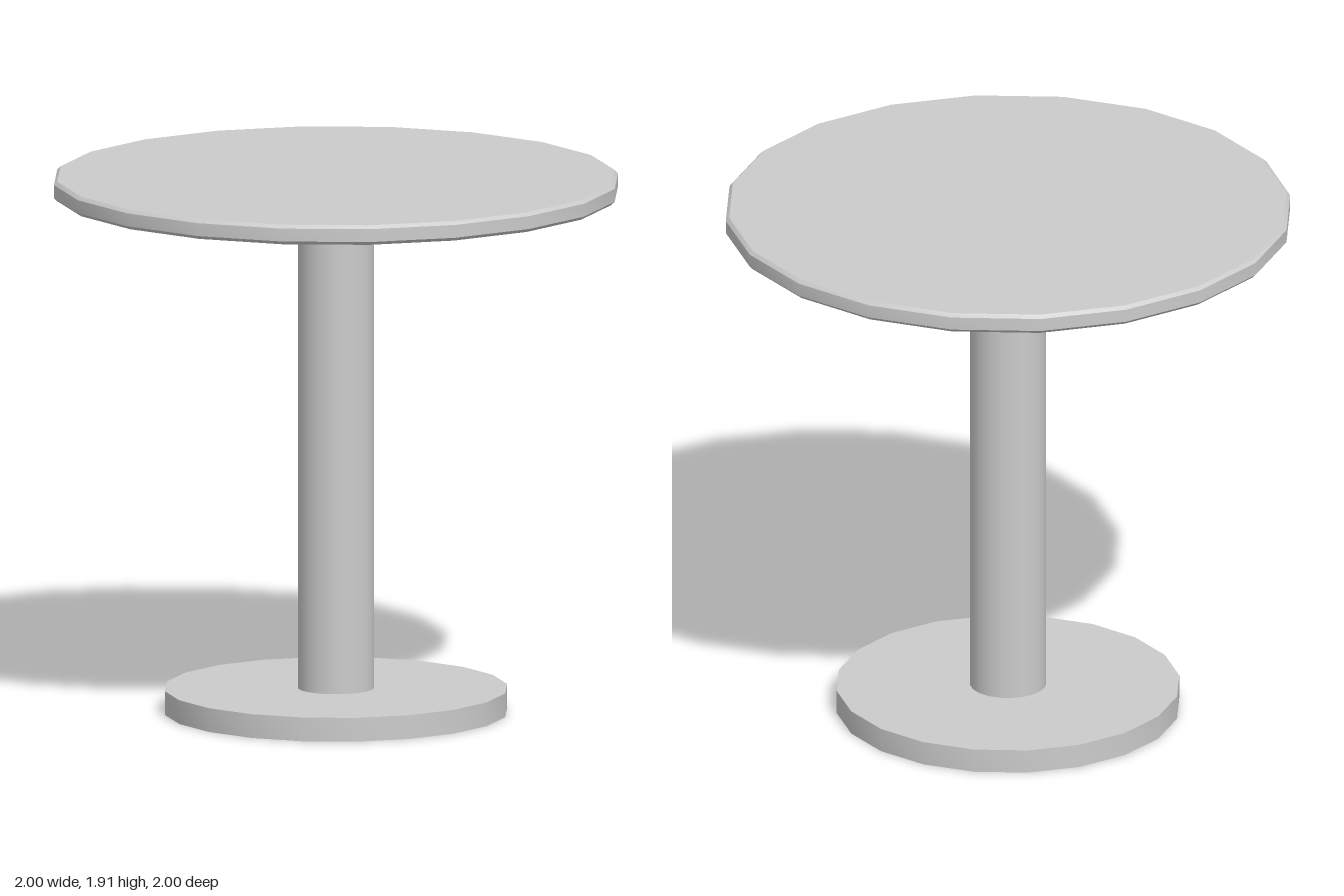
import * as THREE from 'three';
import { toCreasedNormals } from 'three/addons/utils/BufferGeometryUtils.js';

const SIDES = 20;
const POLE_RADIUS = 0.135;

// Turned part from [radius, y] pairs, smooth around and sharp along its rims
function turned(name, profile, material) {
  const points = profile.map(([r, y]) => new THREE.Vector2(r, y));
  const geometry = toCreasedNormals(new THREE.LatheGeometry(points, SIDES), 0.5);
  const mesh = new THREE.Mesh(geometry, material);
  mesh.name = name;
  return mesh;
}

export function createModel() {
  const group = new THREE.Group();
  group.name = 'pedestalTable';
  const grey = new THREE.MeshStandardMaterial({ color: 0xcccccc });
  const greyOpen = new THREE.MeshStandardMaterial({ color: 0xcccccc, side: THREE.DoubleSide });

  // Round top with narrow bevels on both rims
  group.add(turned('tableTop', [
    [0, 1.845], [0.988, 1.845], [1, 1.857], [1, 1.903], [0.988, 1.915], [0, 1.915],
  ], grey));

  // Base disc, open in the middle where the pole passes through
  group.add(turned('base', [
    [POLE_RADIUS, 0], [0.607, 0], [0.607, 0.085], [POLE_RADIUS, 0.085],
  ], grey));

  // Hollow pole, open at the bottom
  const pole = new THREE.Mesh(
    new THREE.CylinderGeometry(POLE_RADIUS, POLE_RADIUS, 1.845, SIDES, 1, true), greyOpen);
  pole.position.y = 1.845 / 2;
  pole.name = 'pole';
  group.add(pole);

  return group;
}
